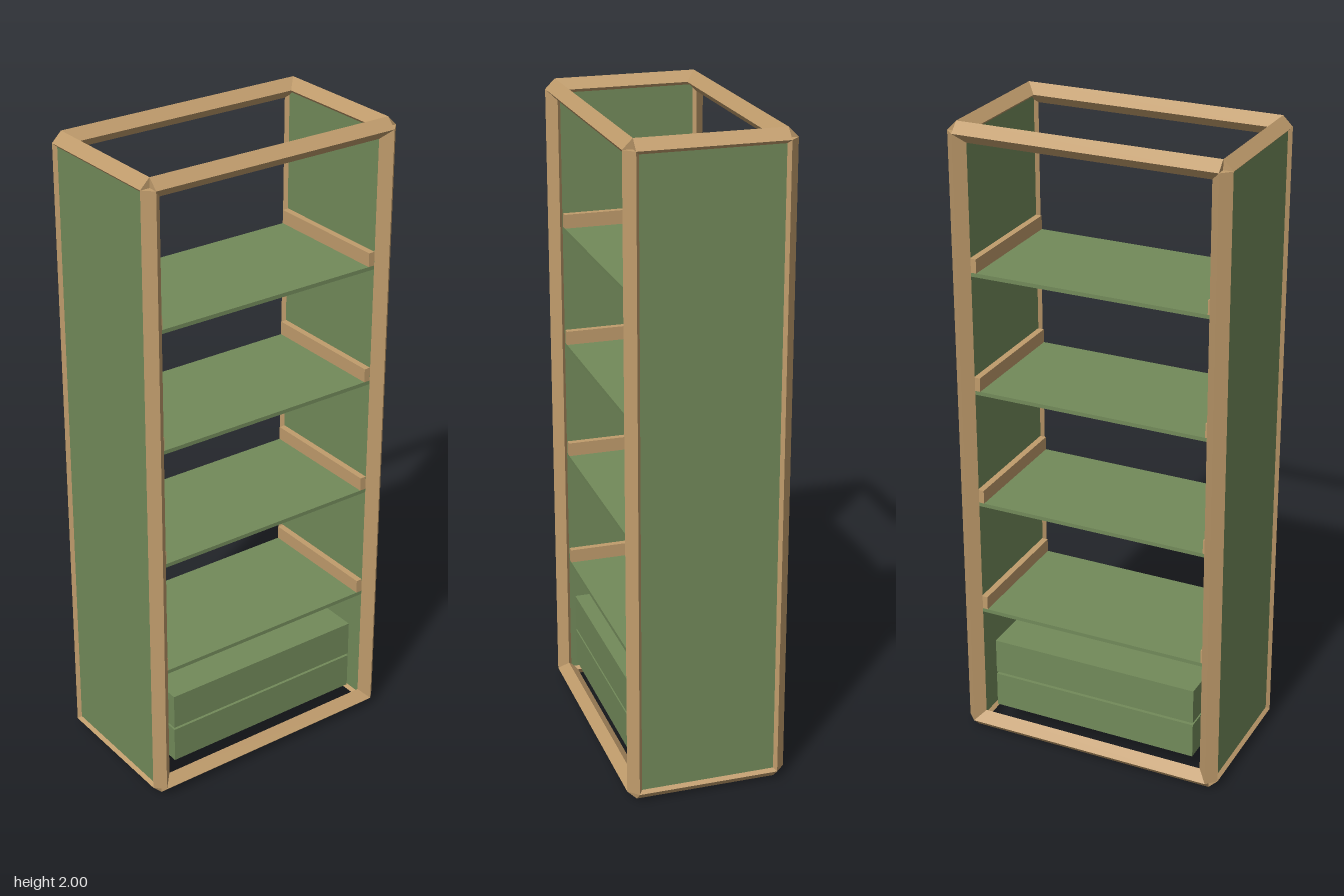
import * as THREE from 'three';

const wood = new THREE.MeshStandardMaterial({ color: 0xc09c6c, flatShading: true });
const green = new THREE.MeshStandardMaterial({ color: 0x728a5a, flatShading: true });

// Half spacing of the frame bars, and half the bar's diagonal
const HX = 0.4, HZ = 0.217, R = 0.03, LOW = R, HIGH = 2 - R;

export function createModel() {
  const model = new THREE.Group();
  model.name = 'shelfUnit';

  function box(name, material, w, h, d, x, y, z) {
    const mesh = new THREE.Mesh(new THREE.BoxGeometry(w, h, d), material);
    mesh.name = name;
    mesh.position.set(x, y, z);
    model.add(mesh);
  }

  // Square bar turned on edge, running along one axis between corner centres
  function bar(name, axis, length, x, y, z) {
    const geometry = new THREE.CylinderGeometry(R, R, length, 4);
    if (axis === 'x') geometry.rotateZ(Math.PI / 2);
    if (axis === 'z') geometry.rotateX(Math.PI / 2);
    const mesh = new THREE.Mesh(geometry, wood);
    mesh.name = name;
    mesh.position.set(x, y, z);
    model.add(mesh);
  }

  // Frame: four posts, four long rails, four short rails
  for (const s of [-1, 1]) {
    for (const t of [-1, 1]) bar('post', 'y', HIGH - LOW, s * HX, 1, t * HZ);
    for (const y of [LOW, HIGH]) {
      bar('longRail', 'x', 2 * HX, 0, y, s * HZ);
      bar('sideRail', 'z', 2 * HZ, s * HX, y, 0);
    }
    box('sidePanel', green, 0.04, HIGH - LOW, 2 * HZ, s * HX, 1, 0);
  }

  // Shelves with a cleat at each end
  for (let i = 0; i < 4; i++) {
    const y = 0.424 + i * 0.373;
    box('shelf', green, 0.76, 0.012, 0.41, 0, y, 0);
    for (const s of [-1, 1]) box('shelfCleat', wood, 0.03, 0.043, 0.41, s * 0.375, y + 0.0275, 0);
  }

  // Two stacked drawers
  for (const y of [0.14, 0.262]) box('drawer', green, 0.675, 0.114, 0.4, 0, y, 0);

  return model;
}
